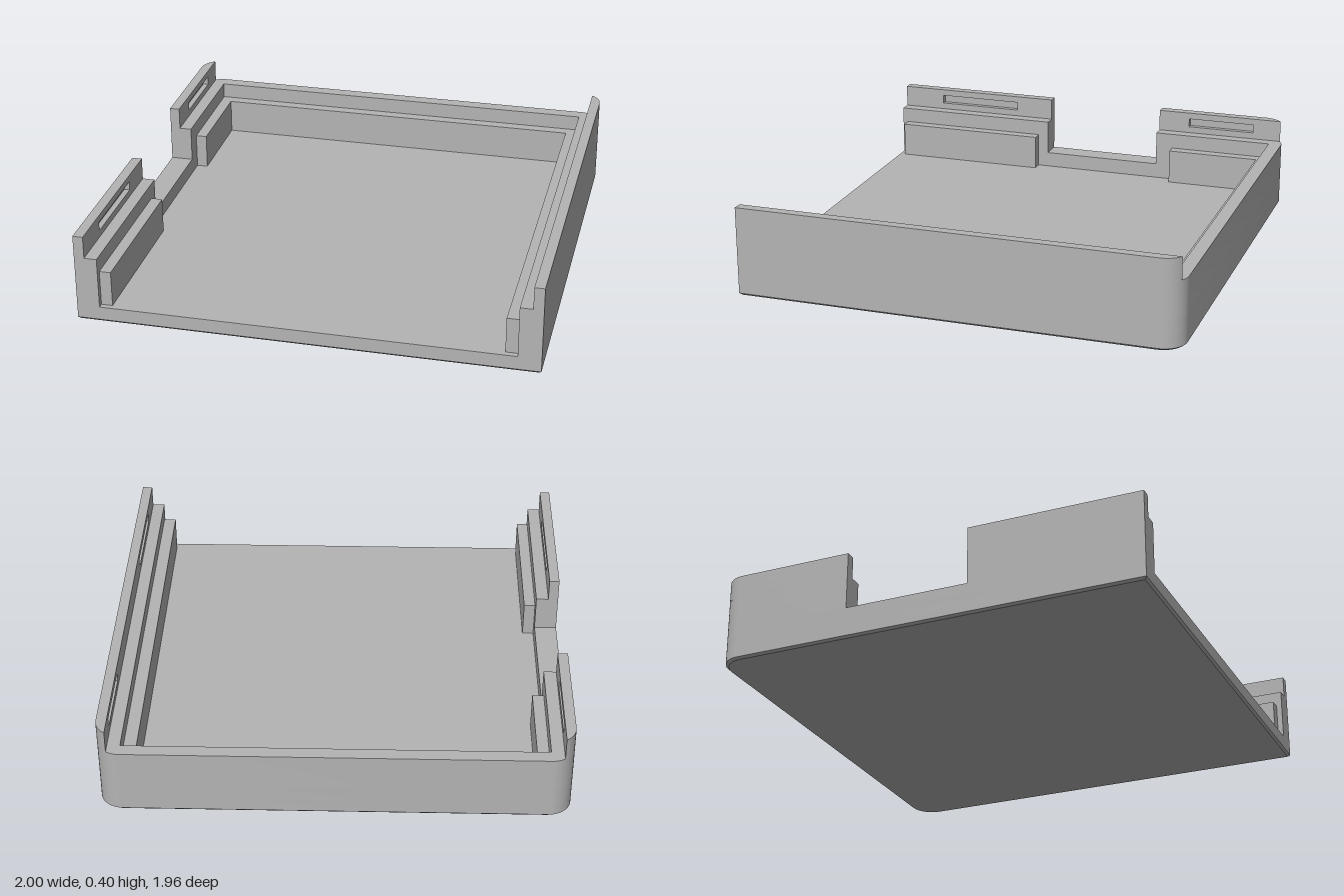
import * as THREE from 'three';
import { toCreasedNormals } from 'three/addons/utils/BufferGeometryUtils.js';

const FRONT = 0.98, BACK = -0.98, R = 0.1;   // tray ends (z) and rear corner radius
const NOTCH = [-0.36, 0.2];                  // cable notch in the right wall (z)
const SLOTS = [[0.78, 0.38], [-0.51, -0.83]]; // snap recesses in the lips (z)

export function createModel() {
  const group = new THREE.Group();
  const grey = new THREE.MeshStandardMaterial({ color: 0xb4b4b4 });
  grey.name = 'grey plastic';

  // Raises a plan of [x, z] points from y0 to y1
  function slab(name, plan, y0, y1, foot = 0) {
    const shape = new THREE.Shape(plan.map(([x, z]) => new THREE.Vector2(x, -z)));
    let geo = new THREE.ExtrudeGeometry(shape, { depth: y1 - y0, bevelEnabled: false });
    geo.rotateX(-Math.PI / 2);
    geo.translate(0, y0, 0);
    if (foot) { // pull the lower rim inward
      const p = geo.attributes.position;
      for (let i = 0; i < p.count; i++) {
        if (p.getY(i) < y0 + 1e-4) p.setXYZ(i, p.getX(i) * (1 - foot), y0, p.getZ(i) * (1 - foot));
      }
    }
    geo = toCreasedNormals(geo, 0.5);
    const mesh = new THREE.Mesh(geo, grey);
    mesh.name = name;
    group.add(mesh);
  }
  const rect = (x0, x1, z0, z1) => [[x0, z0], [x1, z0], [x1, z1], [x0, z1]];
  const mirror = (plan) => plan.map(([x, z]) => [-x, z]);

  // Rear corner on the +x side, from the side wall towards the back
  function corner(end = Math.PI / 2) {
    return Array.from({ length: 13 }, (_, i) => {
      const a = (end * i) / 12;
      return [1 - R + R * Math.cos(a), BACK + R - R * Math.sin(a)];
    });
  }
  const leftCorner = corner();
  const rightCorner = mirror(corner()).reverse();

  // Floor with a slightly eased lower edge
  const outline = [[1, FRONT], ...leftCorner, ...rightCorner, [-1, FRONT]];
  slab('floorEdge', outline, 0, 0.01, 0.01);
  slab('floor', outline, 0.01, 0.07);

  // Walls: full run up to the notch sill, then split around the notch
  const wall = (zEnd) => [
    [1, FRONT], ...leftCorner, ...rightCorner, [-1, zEnd],
    [-0.9, zEnd], [-0.9, -0.92], [0.9, -0.92], [0.9, FRONT],
  ];
  slab('lowerWall', wall(FRONT), 0.07, 0.14);
  slab('upperWall', wall(NOTCH[0]), 0.14, 0.3);
  slab('rightFrontWall', rect(-1, -0.9, NOTCH[1], FRONT), 0.14, 0.3);

  // Inner support rib along the back and both sides
  slab('innerRib', [
    [0.9, 0.955], [0.9, -0.92], [-0.9, -0.92], [-0.9, -0.44],
    [-0.85, -0.44], [-0.85, -0.87], [0.845, -0.87], [0.845, 0.955],
  ], 0.07, 0.23);
  slab('rightFrontRib', rect(-0.9, -0.85, 0.25, 0.955), 0.07, 0.23);

  // Plan of a +x lip starting at zFront; it ends at zBack or at the rounded corner
  function lipPlan(zFront, zBack, slots) {
    const inner = 0.955, depth = 0.025;
    const rear = zBack === undefined
      ? corner(Math.acos((inner - 1 + R) / R))
      : [[1, zBack], [inner, zBack]];
    const cuts = [...slots].reverse().flatMap(([a, b]) =>
      [[inner, b], [inner + depth, b], [inner + depth, a], [inner, a]]);
    return [[1, zFront], ...rear, ...cuts, [inner, zFront]];
  }
  // Three layers, the middle one holding the recesses
  function lip(name, side, zFront, zBack, slots) {
    [[0.3, 0.33, []], [0.33, 0.37, slots], [0.37, 0.4, []]].forEach(([y0, y1, cut]) => {
      const plan = lipPlan(zFront, zBack, cut);
      slab(name, side < 0 ? mirror(plan) : plan, y0, y1);
    });
  }
  lip('leftLip', 1, FRONT, undefined, SLOTS);
  lip('rightFrontLip', -1, FRONT, NOTCH[1], [SLOTS[0]]);
  lip('rightRearLip', -1, NOTCH[0], undefined, [SLOTS[1]]);

  return group;
}
